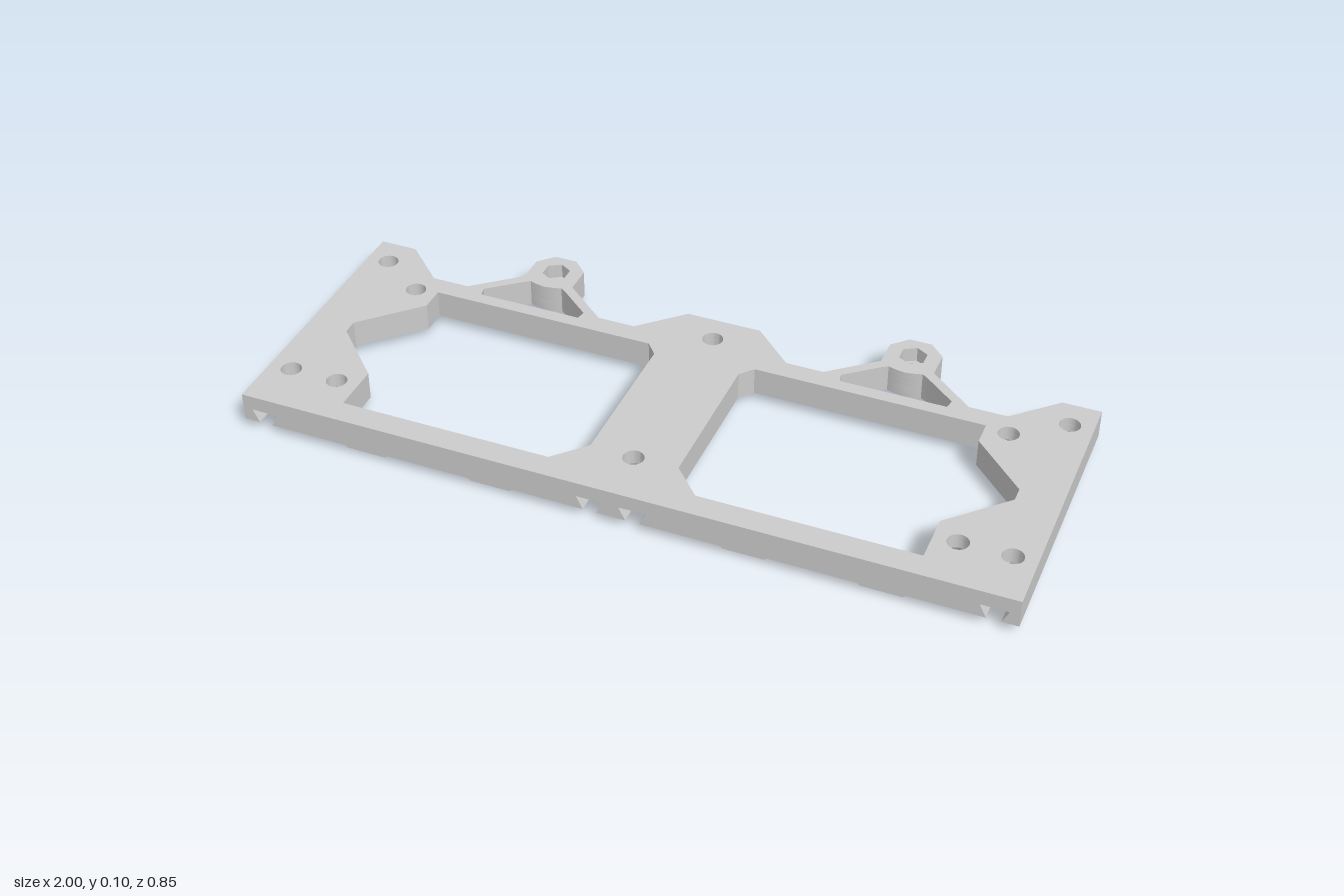
import * as THREE from 'three';
import { toCreasedNormals } from 'three/addons/utils/BufferGeometryUtils.js';

const FRONT = 0.425, SLOT_END = -0.13, HOLE_Z = 0.285;
const material = new THREE.MeshStandardMaterial({ color: 0xcccccc, side: THREE.DoubleSide });
const mix = (a, b, t) => a + (b - a) * t;
const mirror = (pts) => pts.map(([x, z]) => [-x, z]).reverse();
const circle = (x, z, r, n = 24) => Array.from({ length: n }, (_, i) => {
  const a = ((i + 0.5) / n) * Math.PI * 2;
  return [x + r * Math.cos(a), z + r * Math.sin(a)];
});

// right half of the rear edge, from the outer corner to the middle
const rearEdge = [
  [1, -0.315], [0.9, -0.315], [0.79, -0.21], [0.69, -0.21], [0.57, -0.31], [0.57, -0.385],
  [0.53, -0.425], [0.47, -0.425], [0.43, -0.385], [0.43, -0.31], [0.31, -0.21], [0.21, -0.21], [0.1, -0.315],
];
// gap between the plate and a nut boss
const bossGap = [
  [0.36, -0.19], [0.355, -0.215], [0.44, -0.285], [0.455, -0.295], [0.47, -0.29], [0.5, -0.285],
  [0.53, -0.29], [0.545, -0.295], [0.56, -0.285], [0.645, -0.215], [0.64, -0.19],
];
// large opening; its front wall can be cut back
const windowOpening = (front) => [
  [0.19, front], [0.75, front], [0.75, 0.23], [0.89, 0.09], [0.89, 0.05], [0.75, -0.09],
  [0.75, -0.155], [0.145, -0.155], [0.115, -0.12], [0.115, 0.28],
];

// countersink and dovetail sizes at height t (0 = underside, 1 = roof of the groove)
const coneRadius = (t) => mix(0.045, 0.027, t);
const slotHalf = (t) => mix(0.018, 0.035, t);

// outer dovetail groove merged with the countersunk hole it crosses
function grooveEdge(cx, t) {
  const zs = [FRONT, 0.327, 0.32, 0.31, 0.3, HOLE_Z, 0.27, 0.26, 0.25, 0.243, SLOT_END];
  const side = (s) => zs.map((z) => [
    cx + s * Math.max(slotHalf(t), Math.sqrt(Math.max(0, coneRadius(t) ** 2 - (z - HOLE_Z) ** 2))), z]);
  return [...side(-1), ...side(1).reverse()];
}

// plan of the upper part
function upperPlan(front, nutSides, nutRadius) {
  const half = [windowOpening(front), bossGap, circle(0.5, -0.36, nutRadius, nutSides)];
  for (const [x, z] of [[0.94, -0.235], [0.81, -0.145], [0.94, HOLE_Z], [0.81, HOLE_Z]]) half.push(circle(x, z, 0.027));
  return {
    outline: [[-1, FRONT], [1, FRONT], ...rearEdge, ...mirror(rearEdge)],
    holes: [...half, ...half.map(mirror), circle(0, -0.235, 0.027), circle(0, HOLE_Z, 0.027)],
  };
}

// plan of the grooved lower part at height t
function lowerPlan(t) {
  const half = [windowOpening(0.36), bossGap, circle(0.5, -0.36, 0.022)];
  for (const [x, z] of [[0.94, -0.235], [0.81, -0.145], [0.81, HOLE_Z]]) half.push(circle(x, z, coneRadius(t)));
  const w = 0.055 + slotHalf(t);
  return {
    outline: [
      [-1, FRONT], ...grooveEdge(-0.94, t),
      [-w, FRONT], [-w, SLOT_END], [w, SLOT_END], [w, FRONT],
      ...grooveEdge(0.94, t), [1, FRONT], ...rearEdge, ...mirror(rearEdge),
    ],
    holes: [...half, ...half.map(mirror), circle(0, -0.235, coneRadius(t))],
  };
}

// rail between the two middle grooves, ending in an arc at the centre hole
function railPlan(end, dir, t) {
  const h = 0.055 - slotHalf(t), r = coneRadius(t);
  const arc = [-1, -0.5, 0, 0.5, 1].map((k) => [h * k, HOLE_Z + dir * Math.sqrt(r * r - (h * k) ** 2)]);
  return { outline: [...arc, [h, end], [-h, end]], holes: [] };
}

// extrude a plan from y0 to y1, moving the top rim to a second plan with matching points
function slab(name, y0, y1, bottom, top = null) {
  const toVectors = (pts) => pts.map(([x, z]) => new THREE.Vector2(x, -z));
  const shape = new THREE.Shape(toVectors(bottom.outline));
  shape.holes = bottom.holes.map((h) => new THREE.Path(toVectors(h)));
  const geo = new THREE.ExtrudeGeometry(shape, { depth: y1 - y0, bevelEnabled: false });
  geo.rotateX(-Math.PI / 2).translate(0, y0, 0);
  if (top) {
    const from = [bottom.outline, ...bottom.holes].flat();
    const to = [top.outline, ...top.holes].flat();
    const pos = geo.attributes.position;
    for (let i = 0; i < pos.count; i++) {
      if (pos.getY(i) < (y0 + y1) / 2) continue;
      const k = from.findIndex(([x, z]) => Math.hypot(x - pos.getX(i), z - pos.getZ(i)) < 1e-5);
      if (k >= 0) { pos.setX(i, to[k][0]); pos.setZ(i, to[k][1]); }
    }
  }
  const mesh = new THREE.Mesh(toCreasedNormals(geo, 0.4), material);
  mesh.name = name;
  return mesh;
}

export function createModel() {
  const group = new THREE.Group();
  group.name = 'mountingFrame';

  // plate layers: grooved underside, body, recessed window wall, top
  group.add(slab('groovedUnderside', 0.025, 0.06, lowerPlan(0), lowerPlan(1)));
  group.add(slab('plateBody', 0.06, 0.075, upperPlan(0.36, 6, 0.037)));
  group.add(slab('windowRecess', 0.075, 0.09, upperPlan(0.375, 6, 0.037)));
  group.add(slab('plateTop', 0.09, 0.1, upperPlan(0.36, 6, 0.037)));

  // rails between the middle dovetail grooves
  group.add(slab('rearRail', 0.025, 0.06, railPlan(SLOT_END, -1, 0), railPlan(SLOT_END, -1, 1)));
  group.add(slab('frontRail', 0.025, 0.06, railPlan(FRONT, 1, 0), railPlan(FRONT, 1, 1)));

  // small tapered tabs under the front bar
  const tab = new THREE.Shape([[-0.08, 0.025], [-0.052, 0], [0.052, 0], [0.08, 0.025]].map((p) => new THREE.Vector2(...p)));
  const tabGeo = new THREE.ExtrudeGeometry(tab, { depth: 0.016, bevelEnabled: false });
  for (const x of [-0.67, -0.33, 0.33, 0.67]) {
    const mesh = new THREE.Mesh(tabGeo, material);
    mesh.name = 'locatingTab';
    mesh.position.set(x, 0, 0.389);
    group.add(mesh);
  }
  return group;
}
